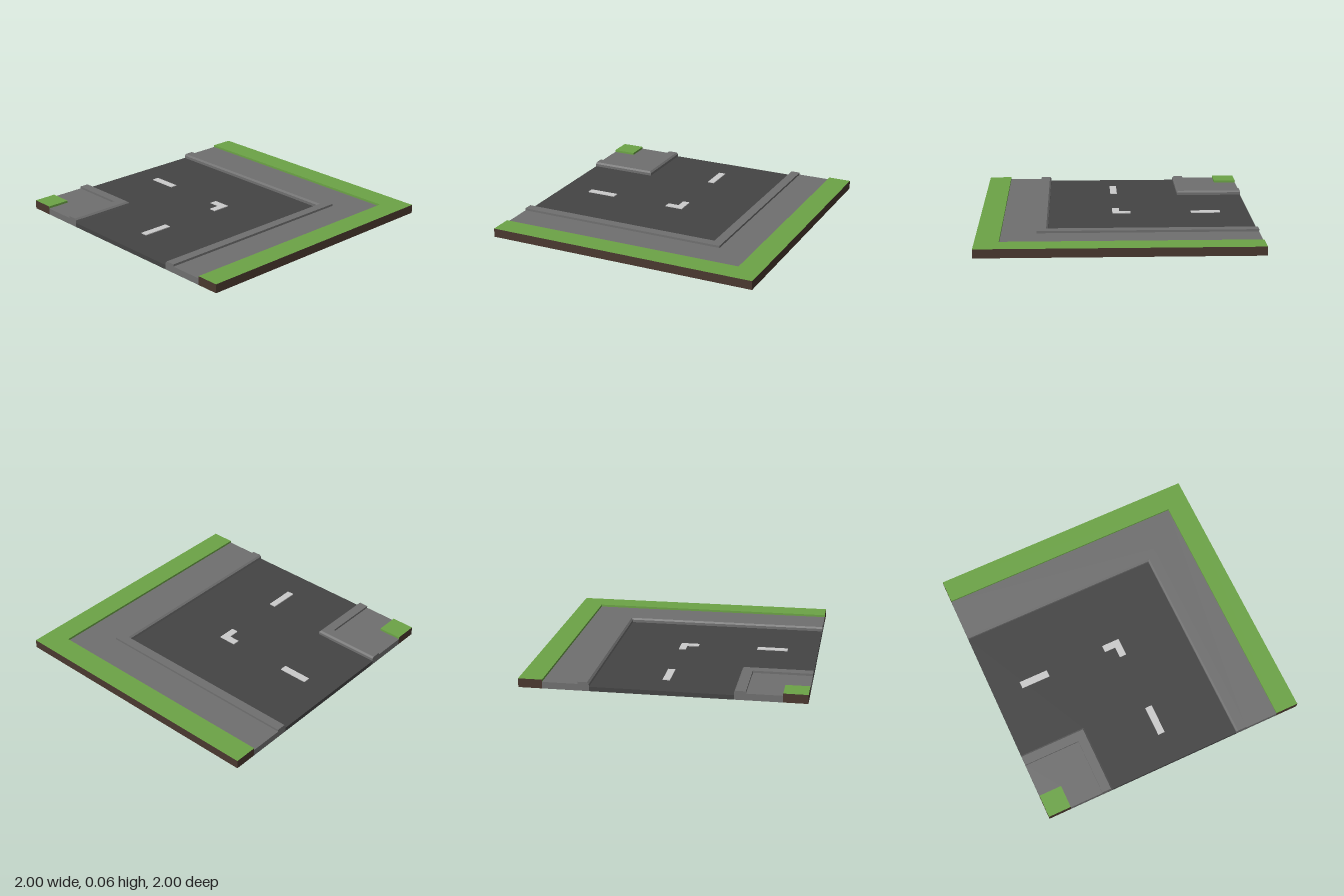
import * as THREE from 'three';

const mat = (name, color) => {
  const m = new THREE.MeshStandardMaterial({ color });
  m.name = name;
  return m;
};

// A point of the L-shaped path: d is the distance from the road's centre line
// towards the outside of the bend, s picks start, corner or end.
const pathPoint = (d, y, s) =>
  [new THREE.Vector3(-1, y, -d), new THREE.Vector3(d, y, -d), new THREE.Vector3(d, y, 1)][s];

// Sweeps a convex counter-clockwise profile of [d, y] points round the bend.
// sides holds one material per profile edge, cap colours both cut ends.
function sweep(name, profile, sides, cap) {
  const faces = new Map();
  const tri = (m, a, b, c) => {
    const area = b.clone().sub(a).cross(c.clone().sub(a)).length();
    if (area < 1e-8) return;
    if (!faces.has(m)) faces.set(m, []);
    faces.get(m).push(a, b, c);
  };
  const n = profile.length;
  const at = (i, s) => pathPoint(...profile[i % n], s);
  for (let i = 0; i < n; i++) {
    for (let s = 0; s < 2; s++) {
      tri(sides[i], at(i, s), at(i + 1, s), at(i + 1, s + 1));
      tri(sides[i], at(i, s), at(i + 1, s + 1), at(i, s + 1));
    }
  }
  for (let i = 1; i < n - 1; i++) {
    tri(cap, at(0, 0), at(i + 1, 0), at(i, 0));
    tri(cap, at(0, 2), at(i, 2), at(i + 1, 2));
  }
  const points = [...faces.values()].flat();
  const geometry = new THREE.BufferGeometry().setFromPoints(points);
  let start = 0;
  [...faces.values()].forEach((list, k) => {
    geometry.addGroup(start, list.length, k);
    start += list.length;
  });
  geometry.computeVertexNormals();
  const mesh = new THREE.Mesh(geometry, [...faces.keys()]);
  mesh.name = name;
  return mesh;
}

// Rectangular profile from d0 to d1: edges run bottom, outer, top, inner.
const rect = (d0, d1, h) => [[d0, 0], [d1, 0], [d1, h], [d0, h]];

export function createModel() {
  const asphalt = mat('asphalt', 0x444444);
  const concrete = mat('concrete', 0x707070);
  const grass = mat('grass', 0x6ca446);
  const soil = mat('soil', 0x4a382f);
  const paint = mat('road paint', 0xcccccc);

  const TOP = 0.064, WALK = 0.048, ROAD = 0.032, BEVEL = 0.012;
  const tile = new THREE.Group();
  tile.name = 'roadCorner';
  const all = (m, n) => Array(n).fill(m);

  tile.add(sweep('road', rect(-0.5, 0.5, ROAD), all(asphalt, 4), asphalt));

  // Outside of the bend: curb bevelled towards the road, pavement, lawn
  tile.add(sweep('outerCurb',
    [[0.5, 0], [0.58, 0], [0.58, TOP], [0.5 + BEVEL, TOP], [0.5, TOP - BEVEL]],
    all(concrete, 5), concrete));
  tile.add(sweep('outerPavement', rect(0.58, 0.83, WALK), all(concrete, 4), concrete));
  tile.add(sweep('outerLawn', rect(0.83, 1, TOP), [concrete, soil, grass, grass], soil));

  // Inside of the bend
  tile.add(sweep('innerCurb',
    [[-0.58, 0], [-0.5, 0], [-0.5, TOP - BEVEL], [-0.5 - BEVEL, TOP], [-0.58, TOP]],
    all(concrete, 5), concrete));
  tile.add(sweep('innerPavement', rect(-0.83, -0.58, WALK), all(concrete, 4), concrete));
  tile.add(sweep('innerLawn', rect(-1, -0.83, TOP), [concrete, grass, grass, soil], soil));

  // Painted centre line: two dashes and a small corner
  const markings = new THREE.Group();
  markings.name = 'laneMarkings';
  const W = 0.026, H = 0.006;
  const stripe = (name, x0, x1, z0, z1) => {
    const mesh = new THREE.Mesh(new THREE.BoxGeometry(x1 - x0, H, z1 - z0), paint);
    mesh.position.set((x0 + x1) / 2, ROAD + H / 2, (z0 + z1) / 2);
    mesh.name = name;
    markings.add(mesh);
  };
  stripe('sideDash', -0.785, -0.565, -W, W);
  stripe('frontDash', -W, W, 0.55, 0.775);
  stripe('cornerMarkSide', -0.11, W, -W, W);
  stripe('cornerMarkFront', -W, W, W, 0.11);
  tile.add(markings);

  return tile;
}
